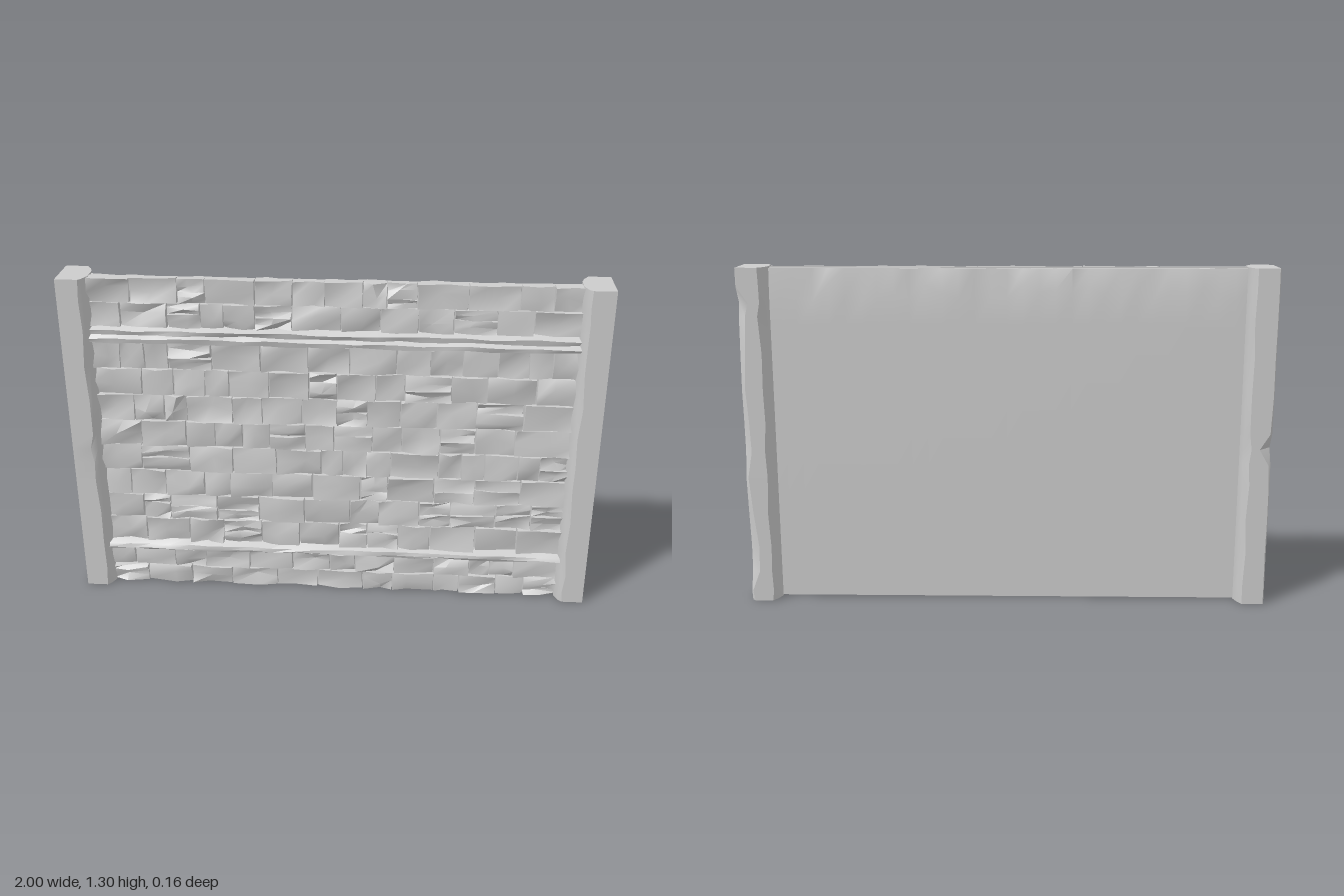
import * as THREE from 'three';
import { toCreasedNormals } from 'three/addons/utils/BufferGeometryUtils.js';

let seed = 7;
const rnd = () => {
  seed = (seed * 16807) % 2147483647;
  return seed / 2147483647;
};
const range = (a, b) => a + (b - a) * rnd();
const jitter = (a) => range(-a, a);

const material = new THREE.MeshStandardMaterial({ color: 0xcccccc });

function addMesh(parent, name, geometry, crease = 0.6) {
  const mesh = new THREE.Mesh(toCreasedNormals(geometry, crease), material);
  mesh.name = name;
  parent.add(mesh);
  return mesh;
}

// Skin a list of rings (arrays of Vector3) and close both ends
function loft(rings) {
  const n = rings[0].length, last = rings.length - 1;
  const points = rings.flat(), index = [];
  for (let r = 0; r < last; r++) {
    for (let i = 0; i < n; i++) {
      const a = r * n + i, b = r * n + (i + 1) % n;
      index.push(a, b, b + n, a, b + n, a + n);
    }
  }
  for (const r of [0, last]) {
    const centre = points.length;
    points.push(rings[r].reduce((s, p) => s.add(p), new THREE.Vector3()).divideScalar(n));
    for (let i = 0; i < n; i++) {
      const a = r * n + i, b = r * n + (i + 1) % n;
      index.push(centre, ...(r === 0 ? [b, a] : [a, b]));
    }
  }
  // Turn the faces outwards whichever way the rings run
  let volume = 0;
  for (let i = 0; i < index.length; i += 3) {
    const [a, b, c] = [0, 1, 2].map((k) => points[index[i + k]]);
    volume += a.dot(new THREE.Vector3().crossVectors(b, c));
  }
  if (volume < 0) index.reverse();
  return new THREE.BufferGeometry().setFromPoints(points).setIndex(index);
}

// Backing slab, flat behind, with a chipped rear top edge
function makeSlab() {
  const geo = new THREE.BoxGeometry(1.82, 1.29, 0.046, 30, 12, 1);
  const p = geo.attributes.position;
  const chips = Array.from({ length: 31 }, () => [range(0, 0.022), range(-0.03, 0.06)]);
  for (let i = 0; i < p.count; i++) {
    const [depth, drop] = chips[Math.round((p.getX(i) / 1.82 + 0.5) * 30)];
    if (p.getZ(i) < 0) {
      if (p.getY(i) > 0.64) p.setZ(i, p.getZ(i) + depth);
      else if (p.getY(i) > 0.53) p.setY(i, p.getY(i) + drop);
    }
  }
  return geo.translate(0, 0.648, 0.001);
}

// Rough stone: a block whose front is pushed in and out at random
function makeStone(x0, x1, y0, y1) {
  const w = x1 - x0, h = y1 - y0;
  const geo = new THREE.BoxGeometry(w, h, 0.03, 2, 2, 1);
  const p = geo.attributes.position;
  const moves = {};
  for (let i = 0; i < p.count; i++) {
    if (p.getZ(i) < 0) continue;
    const key = p.getX(i).toFixed(3) + p.getY(i).toFixed(3);
    const m = moves[key] ??= [jitter(0.16 * w), jitter(0.16 * h), range(-0.014, 0.012)];
    const sx = Math.abs(p.getX(i)) < 0.001 ? m[0] : -Math.sign(p.getX(i)) * Math.abs(m[0]) * 0.2;
    const sy = Math.abs(p.getY(i)) < 0.001 ? m[1] : -Math.sign(p.getY(i)) * Math.abs(m[1]) * 0.2;
    p.setXYZ(i, p.getX(i) + sx, p.getY(i) + sy, p.getZ(i) + m[2]);
  }
  return geo.translate((x0 + x1) / 2, (y0 + y1) / 2, 0.024);
}

// Rows of stones between two heights
function addMasonry(parent, name, yLow, yHigh, rows) {
  const group = new THREE.Group();
  group.name = name;
  const step = (yHigh - yLow) / rows;
  for (let r = 0; r < rows; r++) {
    const y0 = yLow + r * step, y1 = y0 + step;
    for (let x = -0.9; x < 0.9;) {
      let end = x + range(0.08, 0.19);
      if (end > 0.83) end = 0.9;
      if (end - x > 0.1 && rnd() < 0.25) {
        // Two thin stones share one place in the row
        const mid = y0 + step * range(0.35, 0.65);
        addMesh(group, 'stone', makeStone(x, end, y0, mid), 0.9);
        addMesh(group, 'stone', makeStone(x, end, mid, y1), 0.9);
      } else {
        addMesh(group, 'stone', makeStone(x, end, y0, y1), 0.9);
      }
      x = end;
    }
  }
  parent.add(group);
}

// Horizontal moulding with a worn profile of [z, y] points
function makeLedge(profile) {
  const rings = [];
  for (let i = 0; i <= 22; i++) {
    const x = -0.9 + (1.8 * i) / 22;
    rings.push(profile.map(([z, y]) => z < 0.03
      ? new THREE.Vector3(x, y, z)
      : new THREE.Vector3(x, y + jitter(0.004), z + jitter(0.004))));
  }
  return loft(rings);
}

// End post: [y, wear of outer rear corner, wear of inner corners] up its height
function makePost(side, levels) {
  return loft(levels.map(([y, outer, inner]) => {
    const cut = () => inner * range(0.3, 1);
    return [
      [1, 0.08], [0.912 + cut(), 0.08], [0.905, 0.074 - cut()], [0.89, 0.035],
      [0.89, -0.026], [0.9, -0.06 + cut()], [0.912 + cut(), -0.082],
      [1 - outer, -0.082], [1, -0.082 + outer],
    ].map(([x, z]) => new THREE.Vector3(side * x, y, z));
  }));
}

export function createModel() {
  seed = 7;
  const model = new THREE.Group();
  model.name = 'stoneWallPanel';

  addMesh(model, 'backingSlab', makeSlab());
  addMasonry(model, 'lowerStones', 0.003, 0.16, 2);
  addMasonry(model, 'middleStones', 0.195, 1.05, 8);
  addMasonry(model, 'upperStones', 1.11, 1.298, 2);

  addMesh(model, 'upperLedge', makeLedge([
    [0.02, 1.045], [0.056, 1.052], [0.06, 1.07], [0.046, 1.08], [0.051, 1.098], [0.02, 1.118],
  ]));
  addMesh(model, 'lowerLedge', makeLedge([
    [0.02, 0.155], [0.05, 0.162], [0.06, 0.172], [0.056, 0.186], [0.02, 0.205],
  ]));

  // The left post is worn along its outer rear corner
  addMesh(model, 'leftPost', makePost(1, [
    [0, 0.012, 0.01], [0.04, 0.004, 0.004], [0.12, 0.035, 0.012], [0.22, 0.038, 0.004],
    [0.36, 0.022, 0.012], [0.5, 0.01, 0.004], [0.6, 0.028, 0.016], [0.72, 0.024, 0.006],
    [0.84, 0.016, 0.014], [0.98, 0.022, 0.004], [1.12, 0.03, 0.014], [1.17, 0.042, 0.008],
    [1.23, 0.003, 0.004], [1.3, 0.002, 0.012],
  ]));
  // The right post has a deep nick halfway up
  addMesh(model, 'rightPost', makePost(-1, [
    [0, 0.003, 0.008], [0.08, 0.003, 0.004], [0.2, 0.005, 0.014], [0.34, 0.003, 0.004],
    [0.48, 0.004, 0.012], [0.56, 0.01, 0.014], [0.62, 0.045, 0.02], [0.68, 0.008, 0.008],
    [0.82, 0.003, 0.004], [0.96, 0.004, 0.014], [1.1, 0.003, 0.004], [1.22, 0.003, 0.01],
    [1.3, 0.004, 0.006],
  ]));
  return model;
}
